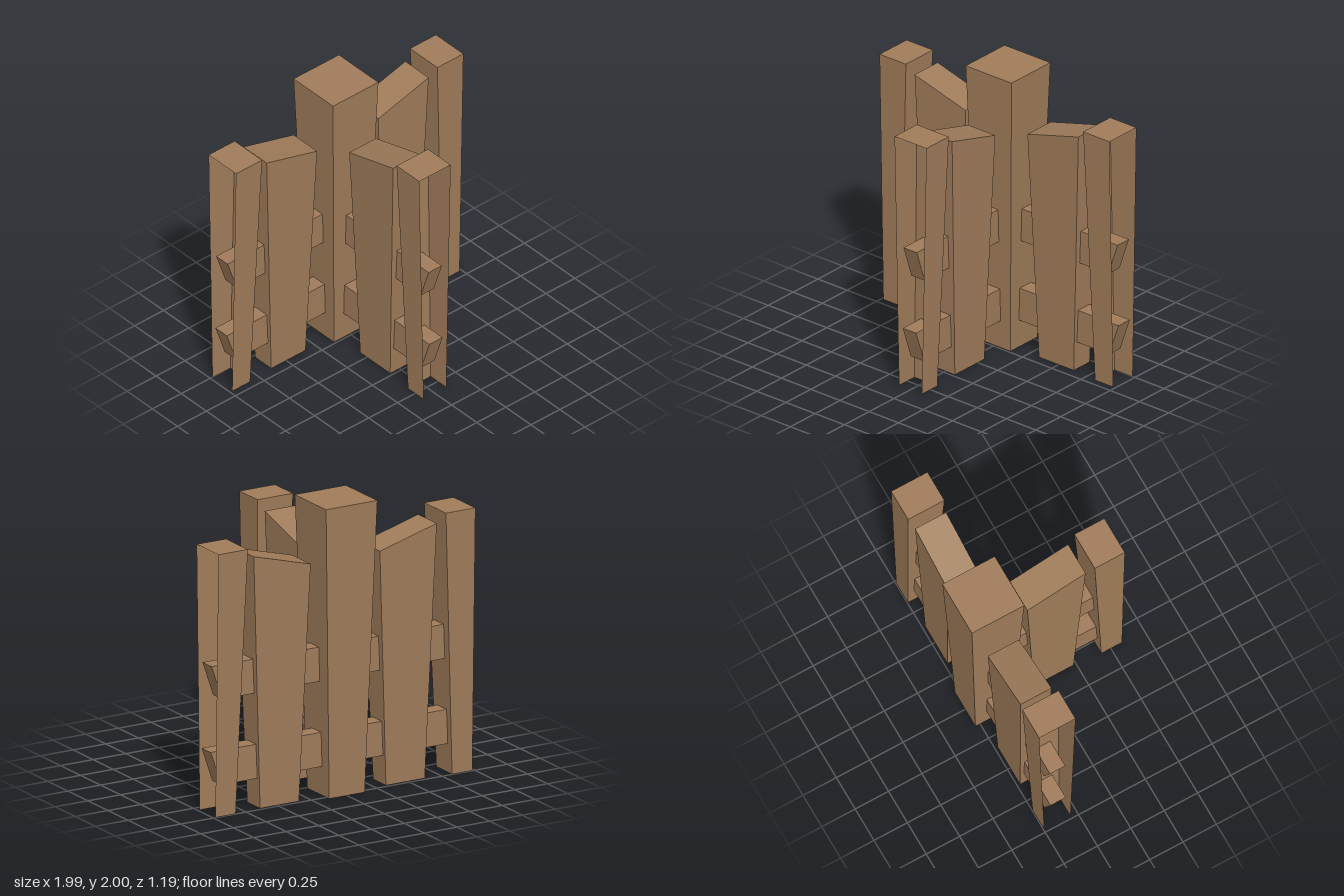
import * as THREE from 'three';

const wood = new THREE.MeshStandardMaterial({ color: 0xa07c5a, side: THREE.DoubleSide });
wood.name = 'wood';

// Box tapered between two rectangles: x range and half depth at the bottom and top.
// slope lifts the top at its outer (+x) edge; open lists faces left out
// (0 = outer end, 1 = inner end, 2 = top, 3 = bottom).
function taperedBox(name, { bottom, top, y0, y1, slope = 0, open = [] }) {
  const box = new THREE.BoxGeometry(1, 1, 1);
  const pos = box.attributes.position;
  for (let i = 0; i < pos.count; i++) {
    const isTop = pos.getY(i) > 0;
    const isOuter = pos.getX(i) > 0;
    const [x0, x1, depth] = isTop ? top : bottom;
    const y = isTop ? y1 + (isOuter ? slope : 0) : y0;
    pos.setXYZ(i, isOuter ? x1 : x0, y, Math.sign(pos.getZ(i)) * depth);
  }
  const all = Array.from(box.index.array);
  box.setIndex(all.filter((_, i) => !open.includes(Math.floor(i / 6))));
  box.clearGroups();
  const geometry = box.toNonIndexed();
  geometry.computeVertexNormals();
  const mesh = new THREE.Mesh(geometry, wood);
  mesh.name = name;
  return mesh;
}

// One fence arm running along +x from the central post
function createArm(name) {
  const arm = new THREE.Group();
  arm.name = name;
  // Wide plank with a slanted top
  arm.add(taperedBox('plank', {
    bottom: [0.333, 0.63, 0.08], top: [0.265, 0.7, 0.116],
    y0: 0, y1: 1.62, slope: 0.12, open: [3],
  }));
  // End post, open on its outer side so fences can join
  arm.add(taperedBox('endPost', {
    bottom: [0.828, 0.983, 0.098], top: [0.758, 0.983, 0.136],
    y0: 0, y1: 1.805, open: [0, 3],
  }));
  // Two rails with slanted ends
  for (const [label, y0, y1, tip] of [['lowerRail', 0.2, 0.435, 0.993], ['upperRail', 0.785, 1.02, 0.986]]) {
    arm.add(taperedBox(label, {
      bottom: [0.05, tip - 0.08, 0.057], top: [0.05, tip, 0.057], y0, y1, open: [1],
    }));
  }
  return arm;
}

export function createModel() {
  const model = new THREE.Group();
  model.name = 'fenceJunction';

  const post = taperedBox('centralPost', {
    bottom: [-0.136, 0.136, 0.136], top: [-0.196, 0.196, 0.196],
    y0: 0, y1: 2, open: [3],
  });
  model.add(post);

  // Three arms: left, right and front
  for (const [name, angle] of [['leftArm', 0], ['rightArm', Math.PI], ['frontArm', -Math.PI / 2]]) {
    const arm = createArm(name);
    arm.rotation.y = angle;
    model.add(arm);
  }
  for (const part of model.children) part.position.z = -0.399;
  return model;
}
